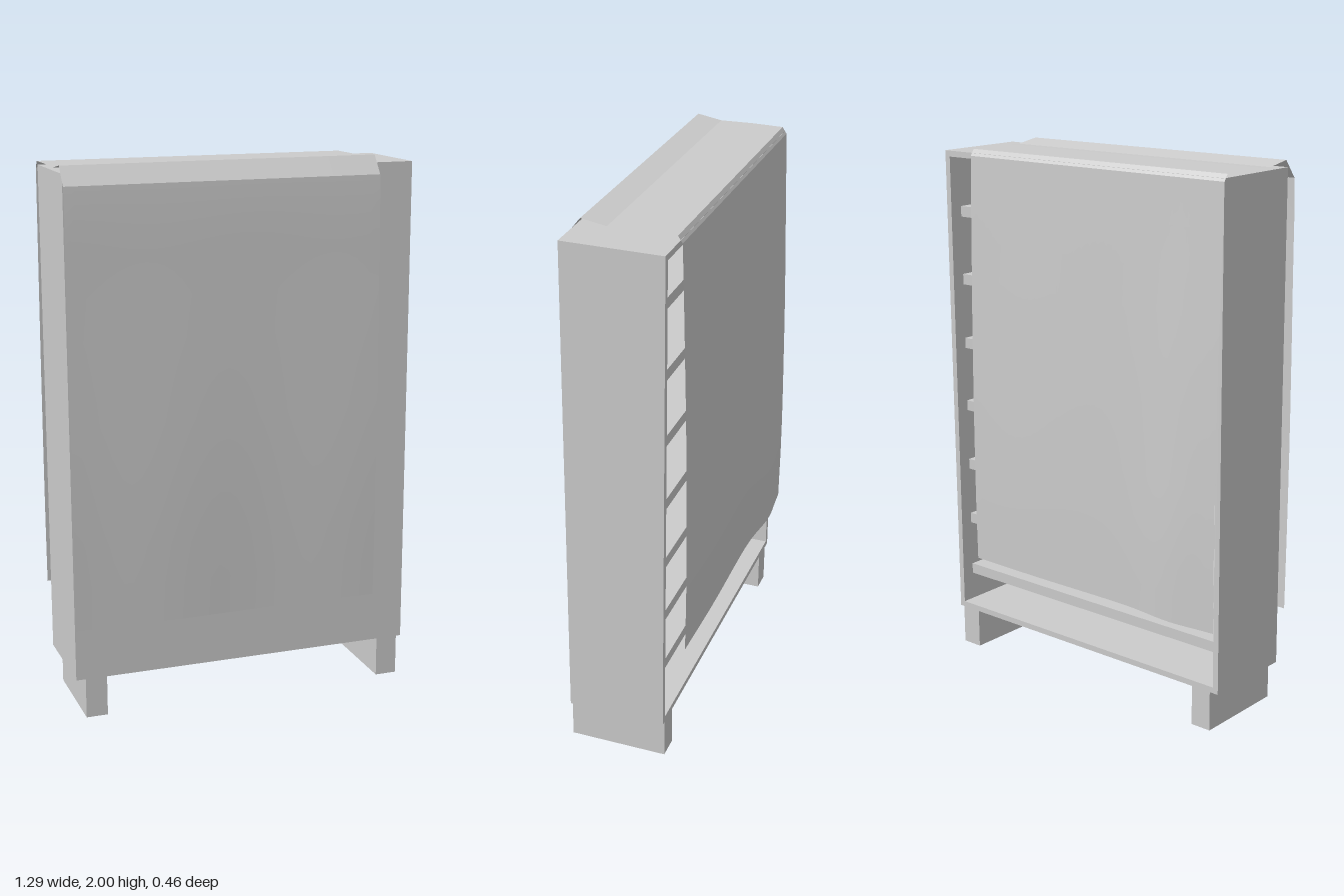
import * as THREE from 'three';
import { toCreasedNormals } from 'three/addons/utils/BufferGeometryUtils.js';

const material = new THREE.MeshStandardMaterial({ color: 0xcccccc });
const clothMaterial = new THREE.MeshStandardMaterial({ color: 0xcccccc, side: THREE.DoubleSide });

// Box given by its minimum and maximum on each axis
function box(name, x0, x1, y0, y1, z0, z1) {
  const mesh = new THREE.Mesh(new THREE.BoxGeometry(x1 - x0, y1 - y0, z1 - z0), material);
  mesh.position.set((x0 + x1) / 2, (y0 + y1) / 2, (z0 + z1) / 2);
  mesh.name = name;
  return mesh;
}

// Cabinet: closed front, open back, shelves and two skid feet
function createCabinet() {
  const g = new THREE.Group();
  g.name = 'cabinet';
  const w = 0.645, y0 = 0.15, y1 = 1.972, zb = -0.17, zf = 0.19, t = 0.022;
  g.add(
    box('rightWall', -w, -w + t, y0, y1, zb, zf),
    box('leftWall', w - t, w, y0, y1, zb, zf),
    box('topPanel', -w + t, w - t, y1 - t, y1, zb, zf),
    box('bottomPanel', -w + t, w - t, y0, y0 + t, zb, zf),
    box('frontPanel', -w + t, w - t, y0 + t, y1 - t, zf - t, zf),
    box('rightFoot', -0.61, -0.53, 0, y0, zb, zf),
    box('leftFoot', 0.545, 0.627, 0, y0, zb, zf)
  );
  for (const y of [0.3, 0.515, 0.74, 0.98, 1.23, 1.48, 1.74]) {
    g.add(box('shelf', -w + t, w - t, y - 0.02, y + 0.02, zb + 0.05, zf - t));
  }
  // The whole cabinet leans back slightly
  g.rotation.x = -0.01;
  return g;
}

// Cloth: a sheet swept along x over a profile from front hem to back hem
function createCloth() {
  // [z, y]
  const profile = [
    [0.226, 0.355], [0.227, 0.5], [0.228, 0.65], [0.228, 0.8], [0.227, 0.95], [0.225, 1.1],
    [0.222, 1.25], [0.219, 1.4], [0.215, 1.55], [0.212, 1.7], [0.21, 1.84], [0.204, 1.935],
    [0.152, 2.0], [0.06, 1.984], [-0.06, 1.986], [-0.18, 1.984], [-0.196, 1.96],
    [-0.2, 1.8], [-0.203, 1.65], [-0.206, 1.5], [-0.209, 1.35], [-0.211, 1.2], [-0.212, 1.05],
    [-0.213, 0.9], [-0.213, 0.75], [-0.212, 0.6], [-0.21, 0.5], [-0.208, 0.395]
  ];
  const nx = 32, x0 = -0.65, x1 = 0.505;
  const positions = [], index = [];
  profile.forEach(([z, y], j) => {
    // Folds grow towards the hems
    const drop = THREE.MathUtils.clamp((1.85 - y) / 1.1, 0, 1);
    for (let i = 0; i <= nx; i++) {
      const x = x0 + (x1 - x0) * i / nx;
      const fold = z > 0
        ? 0.003 * Math.cos(x * 9 + 2.5)
        : -0.018 * Math.exp(-(((x + 0.46) / 0.13) ** 2)) - 0.002 * Math.sin(x * 8);
      positions.push(x, y, z + fold * drop);
      if (i < nx && j < profile.length - 1) {
        const a = j * (nx + 1) + i, b = a + nx + 1;
        index.push(a, a + 1, b + 1, a, b + 1, b);
      }
    }
  });
  const geometry = new THREE.BufferGeometry();
  geometry.setAttribute('position', new THREE.Float32BufferAttribute(positions, 3));
  geometry.setIndex(index);
  const mesh = new THREE.Mesh(toCreasedNormals(geometry, 0.15), clothMaterial);
  mesh.name = 'drapedCloth';
  return mesh;
}

export function createModel() {
  const model = new THREE.Group();
  model.name = 'coveredCabinet';
  model.add(createCabinet(), createCloth());
  return model;
}
